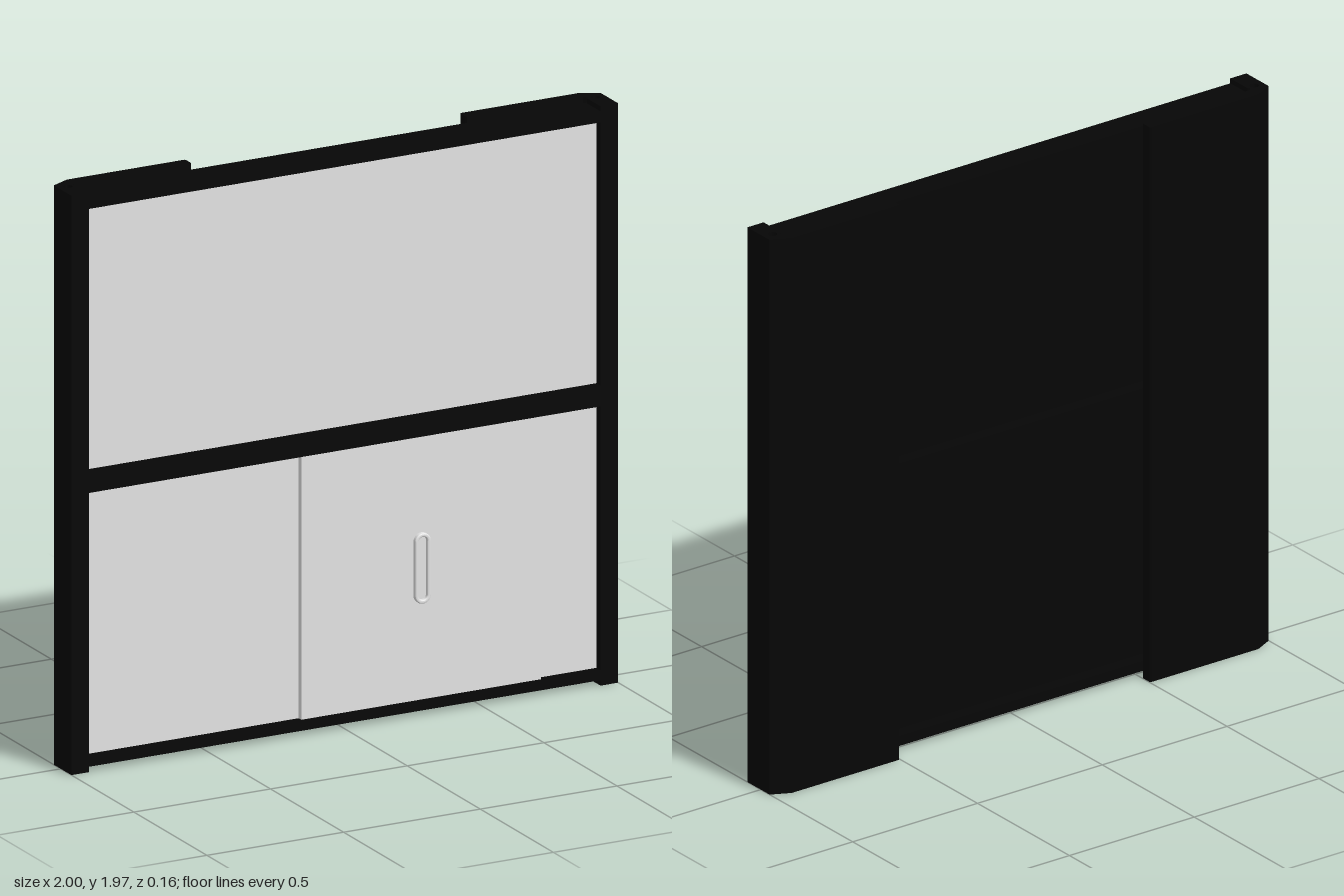
import * as THREE from 'three';

const frameMat = new THREE.MeshStandardMaterial({ color: 0x060606 });
frameMat.name = 'black frame';
const panelMat = new THREE.MeshStandardMaterial({ color: 0xe4e4e4 });
panelMat.name = 'light grey panel';

// Box given by its lower and upper corners
function box(name, mat, [x0, y0, z0], [x1, y1, z1]) {
  const mesh = new THREE.Mesh(new THREE.BoxGeometry(x1 - x0, y1 - y0, z1 - z0), mat);
  mesh.position.set((x0 + x1) / 2, (y0 + y1) / 2, (z0 + z1) / 2);
  mesh.name = name;
  return mesh;
}

// Upright with a back flange, extruded from its plan outline (x, -z)
function sidePost(name, side) {
  const outline = [
    [1, -0.073], [1, 0.048], [0.935, 0.08], [0.506, 0.08], [0.502, 0.076],
    [0.502, 0.041], [0.506, 0.037], [0.93, 0.037], [0.942, 0.027], [0.935, 0.02], [0.935, -0.073],
  ];
  const shape = new THREE.Shape(outline.map(([x, y]) => new THREE.Vector2(side * x, y)));
  const hole = new THREE.Path();
  // The hole runs against the outline so that its wall faces inward
  hole.absarc(side * 0.965, 0.017, 0.015, 0, Math.PI * 2, side > 0);
  shape.holes.push(hole);
  const geo = new THREE.ExtrudeGeometry(shape, { depth: 1.97, bevelEnabled: false, curveSegments: 12 });
  geo.rotateX(-Math.PI / 2);
  const mesh = new THREE.Mesh(geo, frameMat);
  mesh.name = name;
  return mesh;
}

// Upright stadium outline
function stadium(path, r, halfLength) {
  path.absarc(0, halfLength, r, 0, Math.PI, false);
  path.absarc(0, -halfLength, r, Math.PI, Math.PI * 2, false);
  path.closePath();
  return path;
}

export function createModel() {
  const model = new THREE.Group();
  model.name = 'framedPanel';

  // Frame
  model.add(sidePost('leftPost', 1), sidePost('rightPost', -1));
  const rails = { bottomRail: [0.018, 0.053], middleRail: [0.949, 1.021], topRail: [1.915, 1.953] };
  for (const [name, [y0, y1]] of Object.entries(rails)) {
    model.add(box(name, frameMat, [-0.94, y0, -0.026], [0.94, y1, 0.072]));
  }

  // Black backing and grey front sheet in each opening
  for (const [name, y0, y1] of [['lower', 0.053, 0.949], ['upper', 1.021, 1.915]]) {
    model.add(box(name + 'Backing', frameMat, [-0.936, y0, 0.022], [0.936, y1, 0.036]));
    model.add(box(name + 'Panel', panelMat, [-0.936, y0, 0.036], [0.936, y1, 0.047]));
  }

  // Door standing proud of the lower sheet
  model.add(box('door', panelMat, [-0.155, 0.053, 0.047], [0.721, 0.949, 0.065]));

  // Recessed pull: raised rounded rim around a shallow floor
  const rimShape = stadium(new THREE.Shape(), 0.024, 0.091);
  rimShape.holes.push(stadium(new THREE.Path(), 0.021, 0.091));
  const rim = new THREE.Mesh(new THREE.ExtrudeGeometry(rimShape, {
    depth: 0.01, bevelThickness: 0.005, bevelSize: 0.005, bevelSegments: 4, curveSegments: 12,
  }), panelMat);
  rim.name = 'handleRim';
  rim.position.set(0.284, 0.502, 0.065);
  const floor = new THREE.Mesh(new THREE.ShapeGeometry(stadium(new THREE.Shape(), 0.02, 0.091)), panelMat);
  floor.name = 'handleFloor';
  floor.position.set(0.284, 0.502, 0.067);
  model.add(rim, floor);

  return model;
}
